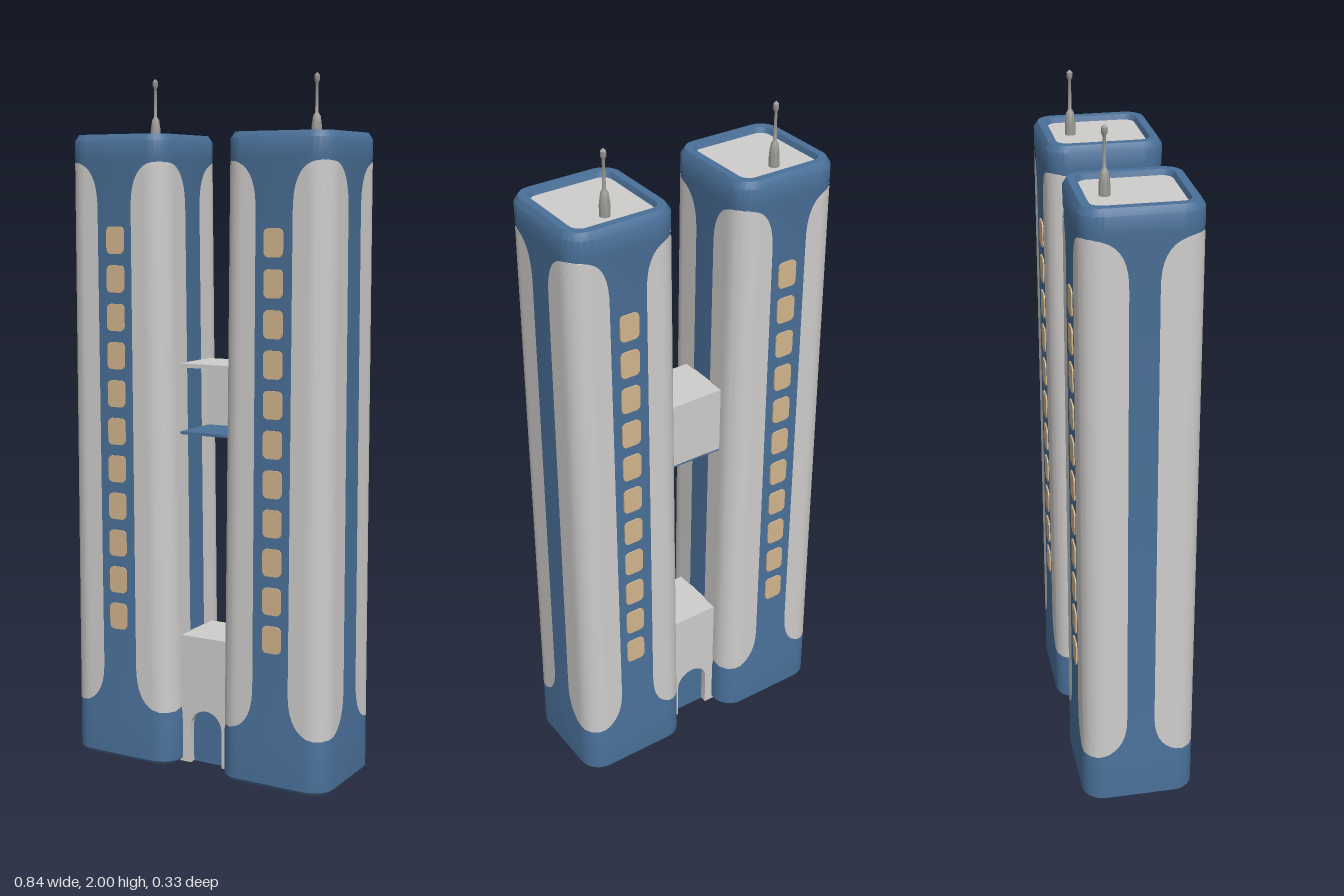
import * as THREE from 'three';
import { toCreasedNormals } from 'three/addons/utils/BufferGeometryUtils.js';

const mat = (name, color) => {
  const m = new THREE.MeshStandardMaterial({ color });
  m.name = name;
  return m;
};
const blue = mat('blue cladding', 0x4a7099);
const grey = mat('pale grey panel', 0xcfcdcb);
const tan = mat('tan glass', 0xd2b48c);
const metal = mat('antenna metal', 0x999894);

const DEPTH = 0.164, RADIUS = 0.062, HEIGHT = 1.833;

// The inner wall leans slightly away from the centre line with height.
function section(y) {
  const t = y / HEIGHT;
  const inner = 0.078 + 0.019 * t, outer = 0.42 - 0.003 * t;
  return { cx: (inner + outer) / 2, hw: (outer - inner) / 2 };
}

function add(group, name, geometry, material, x = 0, y = 0, z = 0) {
  const mesh = new THREE.Mesh(geometry, material);
  mesh.name = name;
  mesh.position.set(x, y, z);
  group.add(mesh);
  return mesh;
}

// Geometry from rows of points; each row has the same count.
function loft(rows, closed, flip, caps = false) {
  const n = rows[0].length, index = [];
  const quad = (a, b, c, d) => (flip ? index.push(a, c, b, a, d, c) : index.push(a, b, c, a, c, d));
  for (let j = 0; j < rows.length - 1; j++) {
    for (let i = 0; i < (closed ? n : n - 1); i++) {
      const k = (i + 1) % n;
      quad(j * n + i, j * n + k, (j + 1) * n + k, (j + 1) * n + i);
    }
  }
  if (caps) for (let i = 1; i < n - 1; i++) index.push(0, i + 1, i);
  const g = new THREE.BufferGeometry();
  g.setAttribute('position', new THREE.Float32BufferAttribute(rows.flat(2), 3));
  g.setIndex(index);
  return toCreasedNormals(g, 0.6);
}

// Rounded square loop, running from +x towards -z.
function ring(side, y, inset) {
  const { cx, hw } = section(y), pts = [];
  const r = Math.max(RADIUS - inset, 0.03);
  for (let q = 0; q < 4; q++) {
    for (let i = 0; i <= 6; i++) {
      const a = (q + i / 6) * Math.PI / 2;
      const sx = q === 0 || q === 3 ? 1 : -1, sz = q < 2 ? -1 : 1;
      pts.push([
        side * cx + sx * (hw - inset - r) + r * Math.cos(a), y,
        sz * (DEPTH - inset - r) - r * Math.sin(a),
      ]);
    }
  }
  return pts;
}

// Point on the wall around one corner: u = -1 at the side stripe, +1 at the window stripe.
function cornerPoint(side, sx, sz, u, y) {
  const { cx, hw } = section(y);
  const half = RADIUS * Math.PI / 4;
  const la = DEPTH - RADIUS - 0.04, lb = hw - RADIUS - 0.056;
  const s = u * (half + (u < 0 ? la : lb));
  const a = THREE.MathUtils.clamp(s / half, -1, 1) * Math.PI / 4 + Math.PI / 4;
  let x = hw - RADIUS + RADIUS * Math.cos(a), z = DEPTH - RADIUS + RADIUS * Math.sin(a);
  if (s < -half) z -= -half - s;
  if (s > half) x -= s - half;
  return [side * cx + sx * x, y, sz * z];
}

// Tall panel wrapped around a corner, with rounded ends.
function cornerPanel(side, sx, sz) {
  const low = 0.16, high = 1.755, end = 0.14, steps = 10, rows = [];
  const row = (y, t) => {
    const h = Math.max(0.02, Math.pow(1 - Math.pow(1 - t, 2.6), 1 / 2.6));
    const pts = [];
    for (let i = 0; i <= 24; i++) pts.push(cornerPoint(side, sx, sz, h * (i / 12 - 1), y));
    rows.push(pts);
  };
  for (let i = 0; i <= steps; i++) row(low + end * (i / steps) ** 2, (i / steps) ** 2);
  for (let i = steps; i >= 0; i--) row(high - end * (i / steps) ** 2, (i / steps) ** 2);
  return loft(rows, false, sx * sz > 0);
}

function roundedRect(w, h, r) {
  const s = new THREE.Shape();
  s.absarc(w / 2 - r, h / 2 - r, r, 0, Math.PI / 2);
  s.absarc(-w / 2 + r, h / 2 - r, r, Math.PI / 2, Math.PI);
  s.absarc(-w / 2 + r, -h / 2 + r, r, Math.PI, Math.PI * 1.5);
  s.absarc(w / 2 - r, -h / 2 + r, r, Math.PI * 1.5, Math.PI * 2);
  s.closePath();
  return s;
}

function tower(side) {
  const g = new THREE.Group();
  g.name = side > 0 ? 'leftTower' : 'rightTower';

  // Body with base, slightly recessed shaft, cap and raised roof rim: [height, inset]
  const profile = [[0, 0.012], [0.012, 0], [0.145, 0], [0.165, 0.003], [1.745, 0.003],
    [1.765, 0], [1.815, 0], [HEIGHT, 0.012], [HEIGHT, 0.034], [1.815, 0.04]];
  add(g, 'towerBody', loft(profile.map(([y, inset]) => ring(side, y, inset)), true, false, true), blue);
  for (const sx of [-1, 1]) {
    for (const sz of [-1, 1]) add(g, 'cornerPanel', cornerPanel(side, sx, sz), grey);
  }

  // Roof deck
  const roof = new THREE.ShapeGeometry(roundedRect(0.25, 0.25, 0.032), 4).rotateX(-Math.PI / 2);
  add(g, 'roofDeck', roof, grey, side * section(HEIGHT).cx, 1.818, 0);

  // Window columns on the front and back
  const pane = new THREE.ExtrudeGeometry(roundedRect(0.058, 0.078, 0.014),
    { depth: 0.006, bevelEnabled: false, curveSegments: 3 });
  for (let i = 0; i < 11; i++) {
    const y = 0.436 + i * 0.11;
    add(g, 'frontWindow', pane, tan, side * 0.254, y, DEPTH - 0.005);
    add(g, 'backWindow', pane, tan, side * 0.254, y, -DEPTH + 0.005).rotation.y = Math.PI;
  }

  // Antenna
  const mast = [[0.015, 1.815], [0.015, 1.85], [0.011, 1.88], [0.005, 1.89], [0.004, 1.97],
    [0.008, 1.978], [0.008, 1.992], [0, 2]].map(([r, y]) => new THREE.Vector2(r, y));
  add(g, 'antenna', toCreasedNormals(new THREE.LatheGeometry(mast, 10), 0.6), metal, side * 0.264, 0, -0.074);
  return g;
}

export function createModel() {
  const model = new THREE.Group();
  model.name = 'twinTowers';
  model.add(tower(1), tower(-1));

  // Upper walkway: roof, back wall and floor, open to the front
  const bridge = new THREE.Group();
  bridge.name = 'upperBridge';
  add(bridge, 'bridgeRoof', new THREE.BoxGeometry(0.2, 0.012, 0.17), grey, 0, 1.179, -0.008);
  add(bridge, 'bridgeBackWall', new THREE.BoxGeometry(0.2, 0.195, 0.012), grey, 0, 1.0825, -0.087);
  add(bridge, 'bridgeFloor', new THREE.BoxGeometry(0.2, 0.008, 0.174), blue, 0, 0.984, -0.006);
  model.add(bridge);

  // Entrance block with an arched doorway through it
  const wall = new THREE.Shape();
  wall.moveTo(-0.1, 0);
  wall.lineTo(-0.052, 0);
  wall.lineTo(-0.052, 0.112);
  wall.absarc(0, 0.112, 0.052, Math.PI, 0, true);
  wall.lineTo(0.052, 0);
  wall.lineTo(0.1, 0);
  wall.lineTo(0.1, 0.385);
  wall.lineTo(-0.1, 0.385);
  wall.closePath();
  const block = new THREE.ExtrudeGeometry(wall, { depth: 0.18, bevelEnabled: false, curveSegments: 12 });
  add(model, 'entranceBlock', toCreasedNormals(block, 0.6), grey, 0, 0, -0.09);
  add(model, 'entranceDoors', new THREE.BoxGeometry(0.12, 0.17, 0.14), blue, 0, 0.085, 0);
  return model;
}
